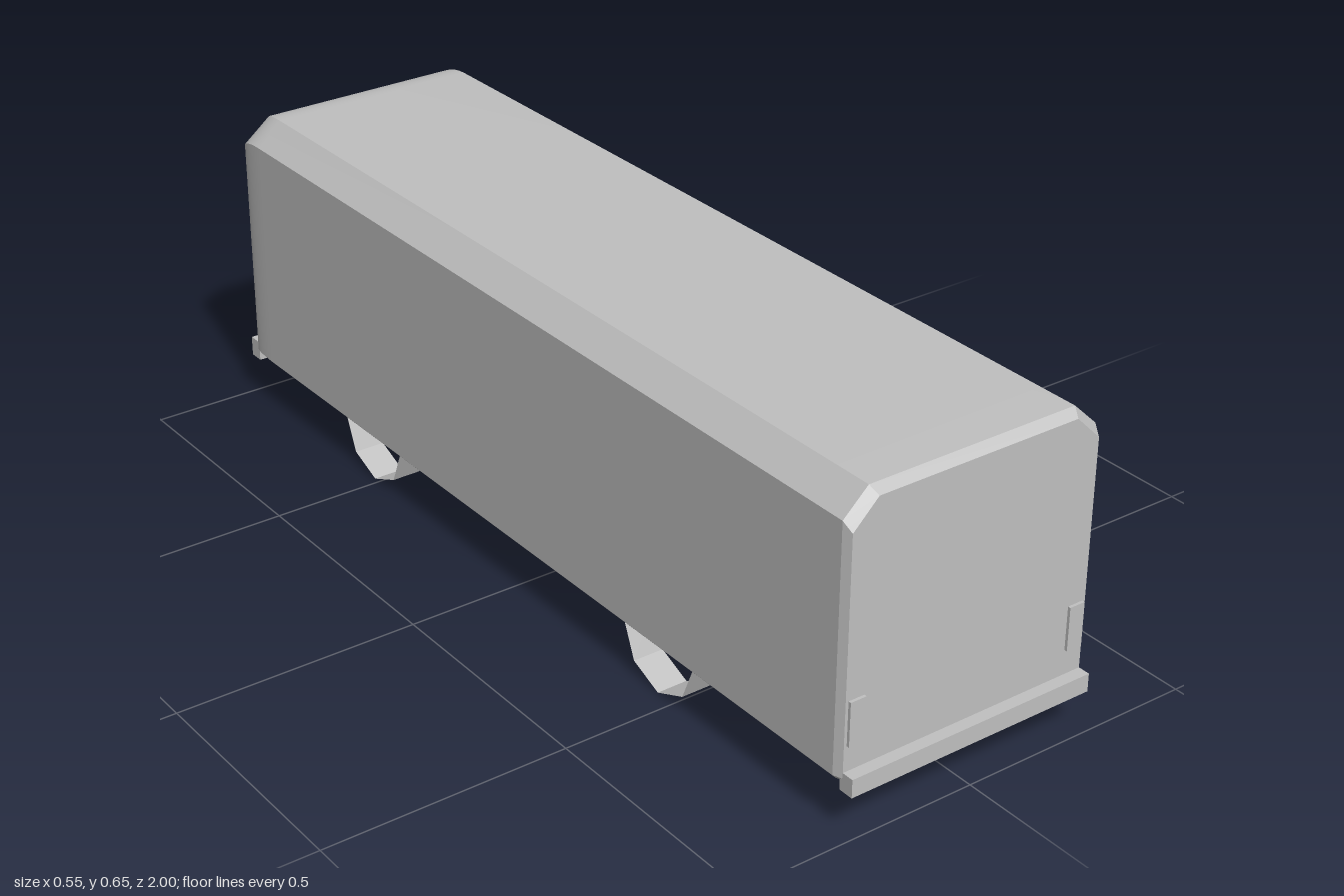
import * as THREE from 'three';
import { toCreasedNormals } from 'three/addons/utils/BufferGeometryUtils.js';

// Half-section of the bus, mirrored into a closed counter-clockwise ring
function ring({ z, w, shoulder, roofW, roof }) {
  const half = [[w - 0.007, 0.104], [w, 0.112], [w, shoulder], [roofW, roof]];
  const mirrored = half.map(([x, y]) => [-x, y]).reverse();
  return [...half, ...mirrored].map(([x, y]) => [x, y, z]);
}

// Skin between consecutive rings, closed with flat caps (front ring first)
function loft(rings) {
  const n = rings[0].length;
  const pos = [];
  const tri = (a, b, c) => pos.push(...a, ...b, ...c);
  for (let r = 0; r < rings.length - 1; r++) {
    for (let i = 0; i < n; i++) {
      const j = (i + 1) % n;
      const a = rings[r][i], b = rings[r][j], c = rings[r + 1][j], d = rings[r + 1][i];
      tri(a, d, c);
      tri(a, c, b);
    }
  }
  const front = rings[0], back = rings[rings.length - 1];
  for (let i = 1; i < n - 1; i++) {
    tri(front[0], front[i], front[i + 1]);
    tri(back[0], back[i + 1], back[i]);
  }
  const geo = new THREE.BufferGeometry();
  geo.setAttribute('position', new THREE.Float32BufferAttribute(pos, 3));
  return toCreasedNormals(geo, 0.35);
}

export function createModel() {
  const model = new THREE.Group();
  model.name = 'bus';
  const grey = new THREE.MeshStandardMaterial({ color: 0xc0c0c0, side: THREE.DoubleSide });
  grey.name = 'plain grey';

  const add = (name, geo, x = 0, y = 0, z = 0) => {
    const mesh = new THREE.Mesh(geo, grey);
    mesh.name = name;
    mesh.position.set(x, y, z);
    model.add(mesh);
    return mesh;
  };

  // Body: bevelled front edge, long straight middle, softly rounded rear
  const sections = [
    { z: 0.975, w: 0.27, shoulder: 0.585, roofW: 0.217, roof: 0.637 },
    { z: 0.957, w: 0.277, shoulder: 0.603, roofW: 0.225, roof: 0.652 },
  ];
  for (let i = 0; i <= 6; i++) {
    const a = THREE.MathUtils.degToRad(12.5 * i);
    const drop = 1 - Math.cos(a);
    sections.push({
      z: -0.9 - 0.075 * Math.sin(a),
      w: 0.277 - 0.0095 * drop,
      shoulder: 0.603 - 0.024 * drop,
      roofW: 0.225 - 0.02 * drop,
      roof: 0.652 - 0.03 * drop,
    });
  }
  add('body', loft(sections.map(ring)));

  // Bumpers
  add('frontBumper', new THREE.BoxGeometry(0.54, 0.037, 0.032), 0, 0.105, 0.984);
  add('rearBumper', new THREE.BoxGeometry(0.54, 0.042, 0.032), 0, 0.108, -0.984);

  for (const side of [1, -1]) {
    const label = side > 0 ? 'left' : 'right';
    // Lamps
    add(label + 'Headlamp', new THREE.BoxGeometry(0.034, 0.089, 0.009), side * 0.247, 0.2195, 0.9765);
    add(label + 'TailLamp', new THREE.BoxGeometry(0.09, 0.034, 0.009), side * 0.186, 0.186, -0.9745);
    // Open eight-sided wheel bands, a corner pointing down
    for (const [end, z] of [['Front', 0.455], ['Rear', -0.515]]) {
      const band = new THREE.CylinderGeometry(0.103, 0.103, 0.065, 8, 1, true).rotateZ(Math.PI / 2);
      add(label + end + 'Wheel', toCreasedNormals(band, 0.35), side * 0.2325, 0.103, z);
    }
  }
  return model;
}
